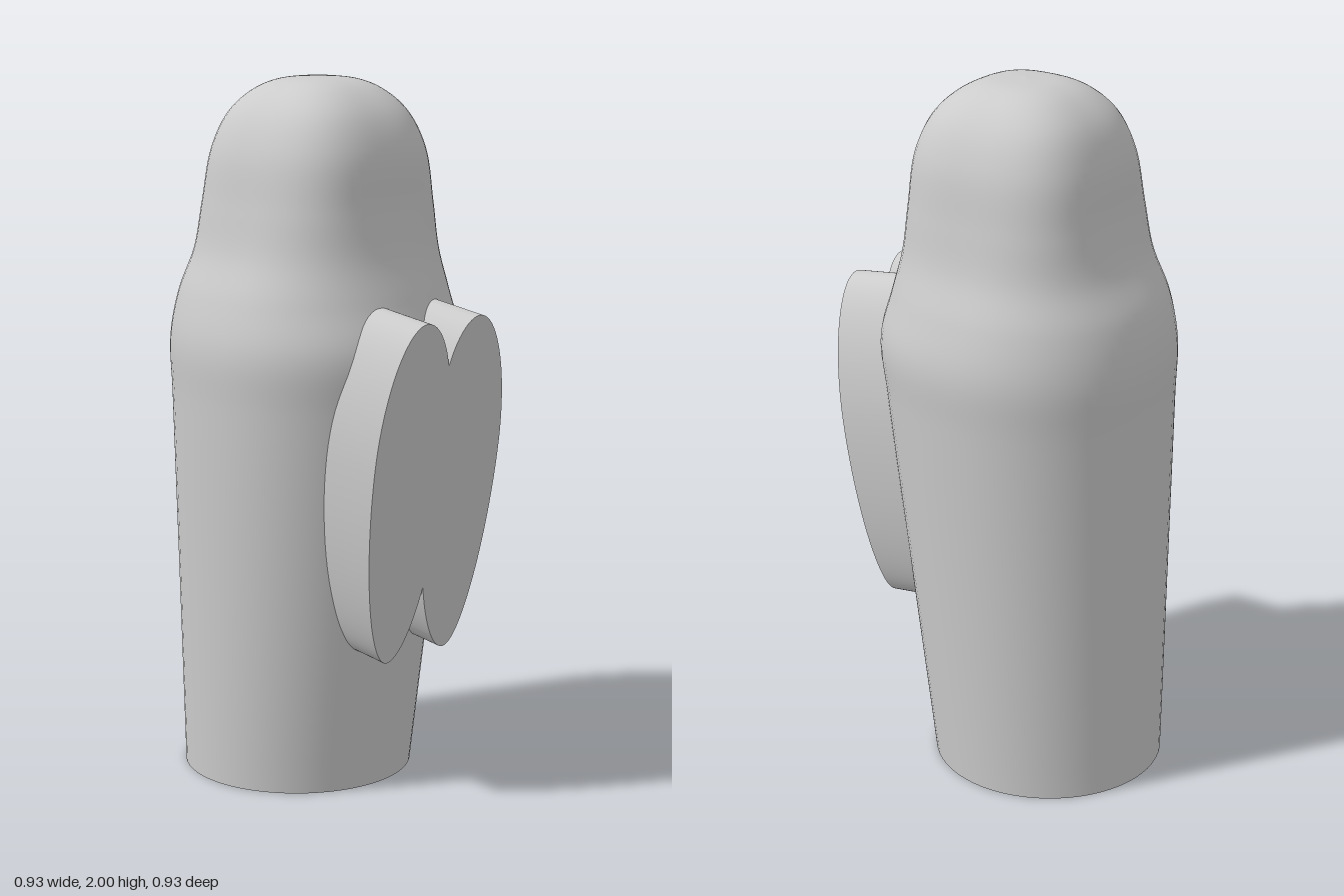
import * as THREE from 'three';
import { toCreasedNormals } from 'three/addons/utils/BufferGeometryUtils.js';

const SEGMENTS = 64, STEPS = 80;
// Body cross-sections: height, half width, half depth, depth centre, squareness (2 = ellipse)
const SECTIONS = [
  [0, 0.33, 0.33, -0.155, 2],
  [0.6, 0.36, 0.368, -0.118, 2.08],
  [1.1, 0.385, 0.398, -0.088, 2.15],
  [1.27, 0.39, 0.405, -0.08, 2.2],
  [1.4, 0.358, 0.372, -0.085, 2.3],
  [1.52, 0.312, 0.323, -0.075, 2.6],
  [1.65, 0.288, 0.294, -0.07, 2.9],
  [1.8, 0.264, 0.273, -0.066, 2.9],
  [1.9, 0.22, 0.23, -0.066, 2.9],
  [1.96, 0.163, 0.17, -0.066, 2.8],
  [1.99, 0.1, 0.105, -0.066, 2.6],
  [2.0, 0, 0, -0.066, 2],
];

// One smooth vertical line of the body at a given angle around it
function bodyLine(angle) {
  const c = Math.cos(angle), s = Math.sin(angle);
  return new THREE.CatmullRomCurve3(SECTIONS.map(([y, w, d, z, n]) => {
    const r = (Math.abs(c) ** n + Math.abs(s) ** n) ** (-1 / n);
    return new THREE.Vector3(w * r * c, y, z + d * r * s);
  }));
}

function bodyGeometry() {
  const positions = [], index = [];
  for (let i = 0; i < SEGMENTS; i++) {
    for (const p of bodyLine((i / SEGMENTS) * Math.PI * 2).getPoints(STEPS)) {
      positions.push(p.x, p.y, p.z);
    }
  }
  const row = STEPS + 1;
  for (let i = 0; i < SEGMENTS; i++) {
    const a = i * row, b = ((i + 1) % SEGMENTS) * row;
    for (let j = 0; j < STEPS; j++) {
      index.push(a + j, a + j + 1, b + j + 1);
      if (j === STEPS - 1) continue;
      index.push(a + j, b + j + 1, b + j);
    }
    // last strip: remaining half of the quad
    index.push(a + STEPS - 1, b + STEPS, b + STEPS - 1);
  }
  const g = new THREE.BufferGeometry();
  g.setAttribute('position', new THREE.Float32BufferAttribute(positions, 3));
  g.setIndex(index);
  g.computeVertexNormals();
  return g;
}

// Two merged upright lobes, notched at top and bottom
function lobesGeometry(depth) {
  const s = new THREE.Shape();
  s.moveTo(0, 0.61);
  s.bezierCurveTo(0.025, 0.5, 0.07, 0.41, 0.115, 0.41);
  s.bezierCurveTo(0.185, 0.41, 0.25, 0.7, 0.25, 0.98);
  s.bezierCurveTo(0.25, 1.2, 0.18, 1.375, 0.105, 1.375);
  s.bezierCurveTo(0.06, 1.375, 0.02, 1.32, 0, 1.245);
  s.bezierCurveTo(-0.02, 1.32, -0.06, 1.375, -0.105, 1.375);
  s.bezierCurveTo(-0.18, 1.375, -0.25, 1.2, -0.25, 0.98);
  s.bezierCurveTo(-0.25, 0.7, -0.185, 0.41, -0.115, 0.41);
  s.bezierCurveTo(-0.07, 0.41, -0.025, 0.5, 0, 0.61);
  const g = new THREE.ExtrudeGeometry(s, { depth, bevelEnabled: false, curveSegments: 20 });
  g.translate(0, 0, -depth);
  return toCreasedNormals(g, 0.6);
}

export function createModel() {
  const model = new THREE.Group();
  const grey = new THREE.MeshStandardMaterial({ color: 0xcccccc });
  const add = (name, geometry) => {
    const mesh = new THREE.Mesh(geometry, grey);
    mesh.name = name;
    model.add(mesh);
    return mesh;
  };

  add('body', bodyGeometry());

  // Flat underside
  const base = add('base', new THREE.CircleGeometry(0.33, SEGMENTS));
  base.rotation.x = Math.PI / 2;
  base.position.z = -0.155;

  // Leaning front plate, sunk into the body
  const plate = add('frontPlate', lobesGeometry(0.3));
  plate.rotation.x = Math.atan(0.14);
  plate.position.z = 0.255;
  plate.scale.y = 1.01;

  // The whole figure faces diagonally
  model.rotation.y = Math.PI / 4;
  const root = new THREE.Group();
  root.name = 'figure';
  root.add(model);
  return root;
}
